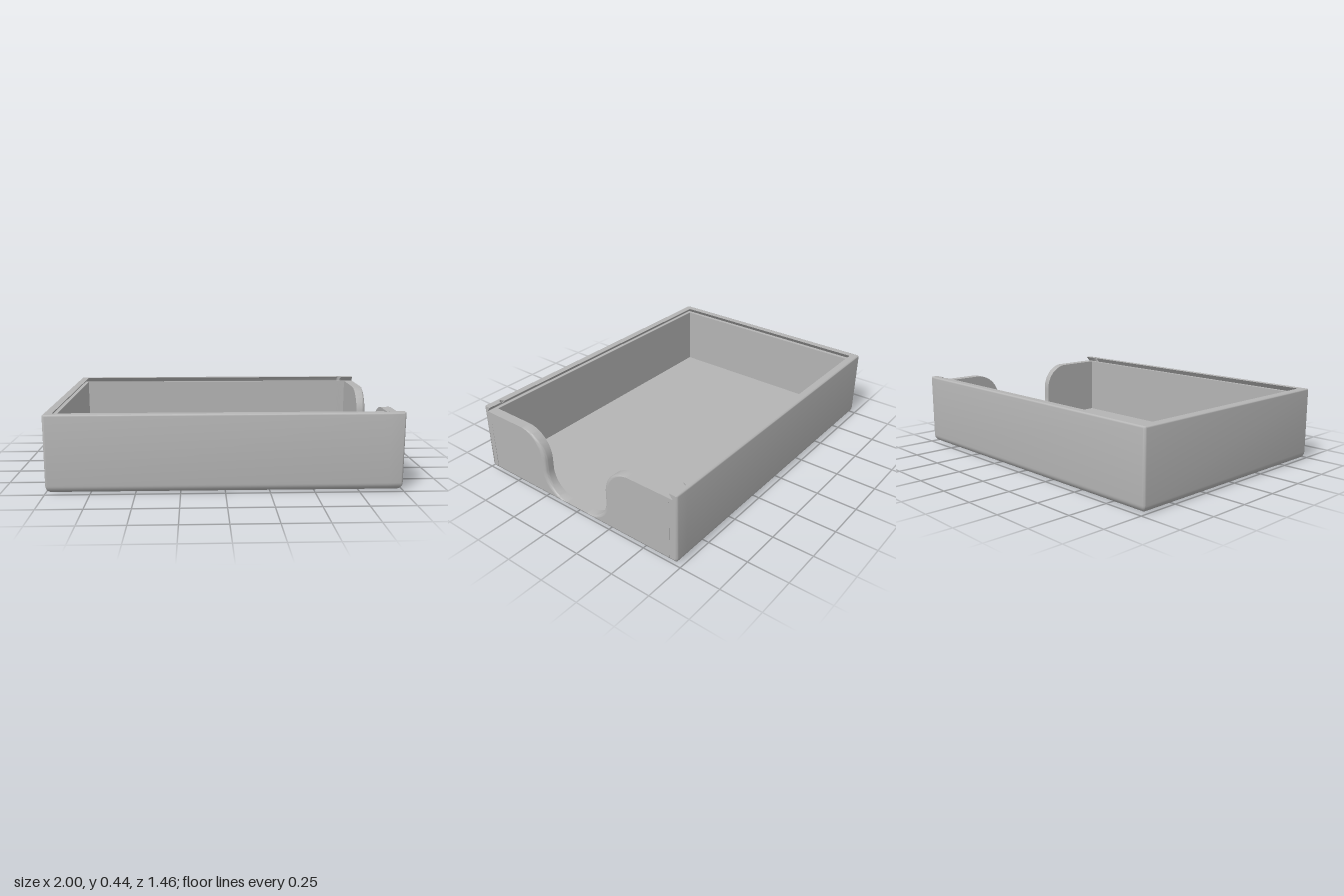
import * as THREE from 'three';
import { toCreasedNormals } from 'three/addons/utils/BufferGeometryUtils.js';

const HX = 1, HZ = 0.73, TOP = 0.445, LEDGE = 0.415, FLOOR = 0.03;
const WALL = 0.05, GROOVE = 0.025, FILLET = 0.045, CORNER = 0.015, RIM = 0.01;
const INNER_X = 0.94;

// How far the rounded bottom edge draws in at height y
const inset = (y) => y >= FILLET ? 0 : FILLET - Math.sqrt(FILLET ** 2 - (FILLET - y) ** 2);

// Skin a list of equally long rows of points
function loft(rows, closed = false, out = []) {
  for (let j = 0; j < rows.length - 1; j++) {
    const a = rows[j], b = rows[j + 1], n = a.length;
    for (let i = 0; i < (closed ? n : n - 1); i++) {
      const k = (i + 1) % n;
      out.push(...a[i], ...b[i], ...a[k], ...a[k], ...b[i], ...b[k]);
    }
  }
  return out;
}

function geometryFrom(triangles) {
  const g = new THREE.BufferGeometry();
  g.setAttribute('position', new THREE.Float32BufferAttribute(triangles, 3));
  return toCreasedNormals(g, 0.6);
}

// Outline from the right front corner round to the right back corner;
// dip widens it at the two catch notches near the open end
function ring(y, d, r, right = HX, dip = 0) {
  const front = [], hz = HZ - d, left = HX - d, steps = 5;
  for (let i = 0; i <= steps; i++) {
    const a = (i / steps) * Math.PI / 2;
    front.push([right - r + r * Math.cos(a), y, hz - r + r * Math.sin(a)]);
  }
  for (let i = 0; i <= 10; i++) {
    const a = (i / 10) * Math.PI;
    front.push([0.9 + 0.016 * Math.cos(a), y, hz + dip * Math.sin(a)]);
  }
  for (let i = 0; i <= steps; i++) {
    const a = Math.PI / 2 * (1 + i / steps);
    front.push([-left + r + r * Math.cos(a), y, hz - r + r * Math.sin(a)]);
  }
  const back = front.map(([x, py, z]) => [x, py, -z]).reverse();
  return [...front, ...back];
}

// Flat face across x from [z, y] points
function sideFace(points, x, outward) {
  const s = outward ? -1 : 1;
  const shape = new THREE.Shape(points.map(([z, y]) => new THREE.Vector2(s * z, y)));
  return new THREE.ShapeGeometry(shape).rotateY(-s * Math.PI / 2).translate(x, 0, 0);
}

// Level rectangle facing up or down
function levelFace(x0, x1, z0, z1, y, up = true) {
  return new THREE.PlaneGeometry(x1 - x0, z1 - z0)
    .rotateX(up ? -Math.PI / 2 : Math.PI / 2)
    .translate((x0 + x1) / 2, y, (z0 + z1) / 2);
}

export function createModel() {
  const model = new THREE.Group();
  model.name = 'slidingLidBox';
  const grey = new THREE.MeshStandardMaterial({ color: 0xb4b4b4, side: THREE.DoubleSide });
  grey.name = 'grey';
  const add = (parent, name, geometry) => {
    const mesh = new THREE.Mesh(geometry, grey);
    mesh.name = name;
    parent.add(mesh);
  };

  // Outer shell: closed rounded base, then three walls with a rounded rim
  const baseRing = (y) => ring(y, inset(y), Math.max(CORNER - inset(y), 0.002), HX - inset(y));
  const low = [0, 0.002, 0.006, 0.012, 0.02, FLOOR].map(baseRing);
  const high = [FLOOR, 0.037, FILLET].map(baseRing);
  for (let i = 0; i <= 4; i++) {
    const a = (i / 4) * Math.PI / 2, d = RIM * (1 - Math.cos(a));
    high.push(ring(TOP - RIM + RIM * Math.sin(a), d, CORNER - d));
  }
  add(model, 'outerShell', geometryFrom(loft(high, false, loft(low, true))));
  add(model, 'underside', levelFace(-HX + FILLET, HX - FILLET, -HZ + FILLET, HZ - FILLET, 0, false));

  // Rim, undercut lid groove, ledge and inner walls
  const lining = [
    ring(TOP, RIM, CORNER - RIM),
    ring(TOP, WALL, 0, HX, GROOVE),
    ring(LEDGE, GROOVE, 0),
    ring(LEDGE, WALL, 0),
    ring(FLOOR, WALL, 0),
  ];
  ['rimTop', 'lidGroove', 'grooveLedge', 'innerWalls'].forEach((name, i) =>
    add(model, name, geometryFrom(loft(lining.slice(i, i + 2)))));
  add(model, 'floor', levelFace(-HX + WALL, HX - inset(FLOOR), -HZ + WALL, HZ - WALL, FLOOR));

  // Thumb cutout curve on one half: [z, y, normal z, normal y]
  const curve = [];
  const N = 16;
  for (let i = 0; i <= N; i++) {
    const a = Math.PI / 2 * (1 + i / N), c = Math.cos(a), s = Math.sin(a);
    curve.push([0.4 + 0.17 * c, 0.245 + 0.17 * s, -c, -s]);
  }
  for (let i = 0; i <= N; i++) {
    const a = -Math.PI / 2 * (i / N), c = Math.cos(a), s = Math.sin(a);
    curve.push([0.08 + 0.15 * c, 0.18 + 0.15 * s, c, s]);
  }

  // Cutout edge: square inside, rounded outside, fading at both ends
  const rows = [curve.map(([z, y]) => [INNER_X, y, z])];
  for (let k = 0; k <= 6; k++) {
    const a = (k / 6) * Math.PI / 2;
    rows.push(curve.map(([z, y, nz, ny]) => {
      const r = 0.025 * Math.abs(nz), o = r * (1 - Math.cos(a));
      return [HX - inset(y) - r + r * Math.sin(a), y + ny * o, z + nz * o];
    }));
  }
  const outerEdge = rows[rows.length - 1].map(([, y, z]) => [z, y]);
  const innerEdge = curve.map(([z, y]) => [z, y]);
  const sideZ = HZ - CORNER, cavityZ = HZ - WALL;

  const outerFace = sideFace([[sideZ, FLOOR], [sideZ, LEDGE], ...outerEdge], HX, true);
  const p = outerFace.attributes.position;
  for (let i = 0; i < p.count; i++) p.setX(i, HX - inset(p.getY(i)));
  const innerFace = sideFace([[cavityZ, FLOOR], [cavityZ, LEDGE], ...innerEdge], INNER_X, false);
  const railEnd = sideFace([[sideZ, LEDGE], [HZ - GROOVE, LEDGE], [cavityZ, TOP], [sideZ, TOP]], HX, true);

  // Low open-end wall, mirrored front to back
  for (const side of [1, -1]) {
    const half = new THREE.Group();
    half.name = side > 0 ? 'endWallFront' : 'endWallBack';
    half.scale.z = side;
    add(half, 'cutoutEdge', geometryFrom(loft(rows)));
    add(half, 'endWallOuterFace', outerFace);
    add(half, 'endWallInnerFace', innerFace);
    add(half, 'endWallTop', levelFace(INNER_X, HX, 0.4, cavityZ, LEDGE));
    add(half, 'railEnd', railEnd);
    model.add(half);
  }
  return model;
}
